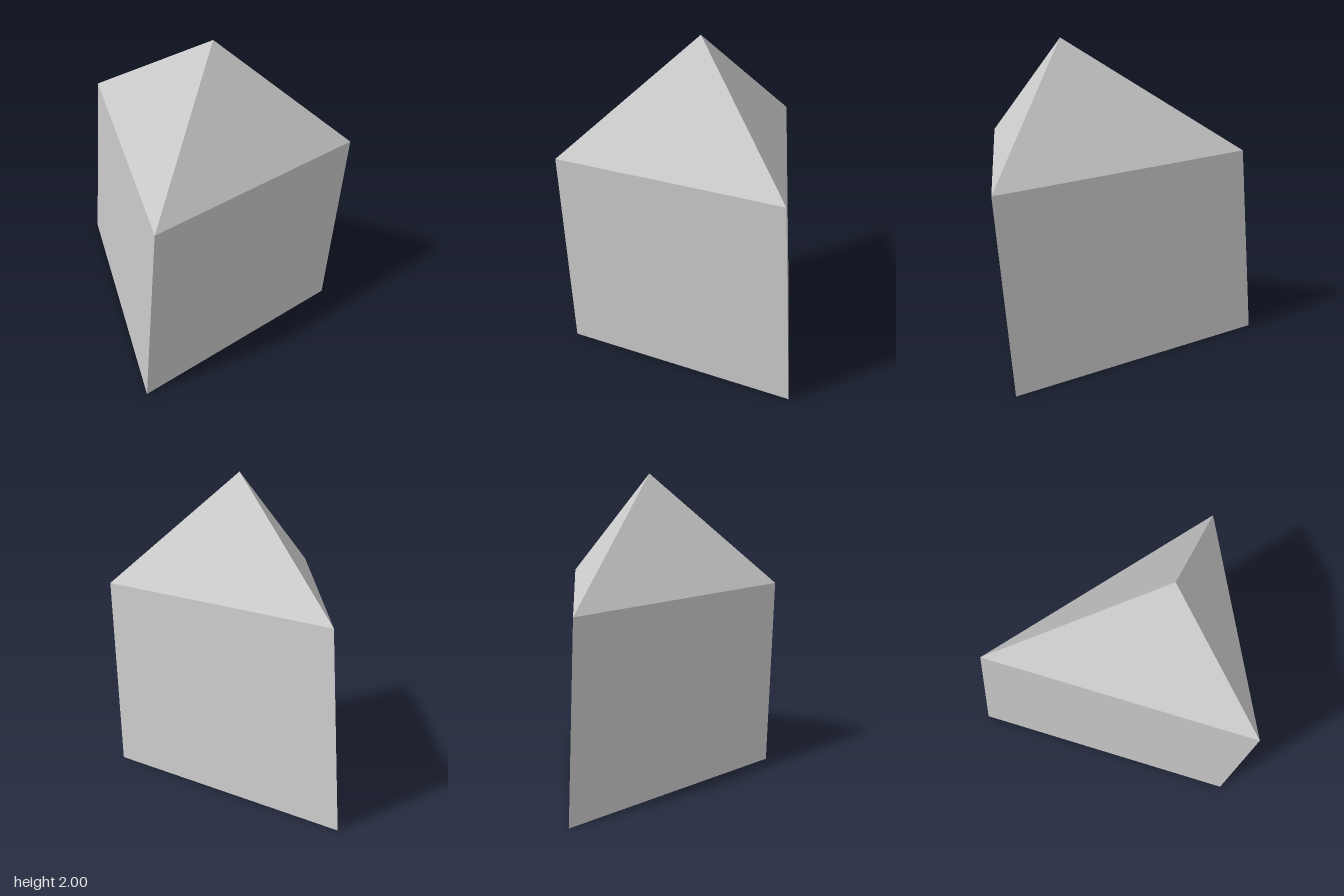
import * as THREE from 'three';

// Triangle ring at height y, shifted along z; counter-clockwise seen from above
const ring = (y, shift) => [
  [-0.765, y, 0.8 + shift],
  [0.765, y, 0.8 + shift],
  [0, y, -0.8 + shift],
];

// Flat-shaded mesh from a list of triangles
function facetMesh(name, triangles, material) {
  const geometry = new THREE.BufferGeometry();
  geometry.setAttribute('position', new THREE.Float32BufferAttribute(triangles.flat(2), 3));
  geometry.computeVertexNormals();
  const mesh = new THREE.Mesh(geometry, material);
  mesh.name = name;
  return mesh;
}

export function createModel() {
  const group = new THREE.Group();
  group.name = 'crystal';

  const stone = new THREE.MeshStandardMaterial({ color: 0xcccccc });
  stone.name = 'light grey';

  const lower = ring(0, -0.045);
  const upper = ring(1.25, 0.045);
  const apex = [0, 2, 0.41];

  const body = [[lower[2], lower[1], lower[0]]]; // underside
  const tip = [];
  for (let i = 0; i < 3; i++) {
    const j = (i + 1) % 3;
    // leaning side wall
    body.push([lower[i], lower[j], upper[j]], [lower[i], upper[j], upper[i]]);
    // sloping facet up to the apex
    tip.push([upper[i], upper[j], apex]);
  }

  group.add(facetMesh('prismBody', body, stone), facetMesh('pyramidTip', tip, stone));
  return group;
}
